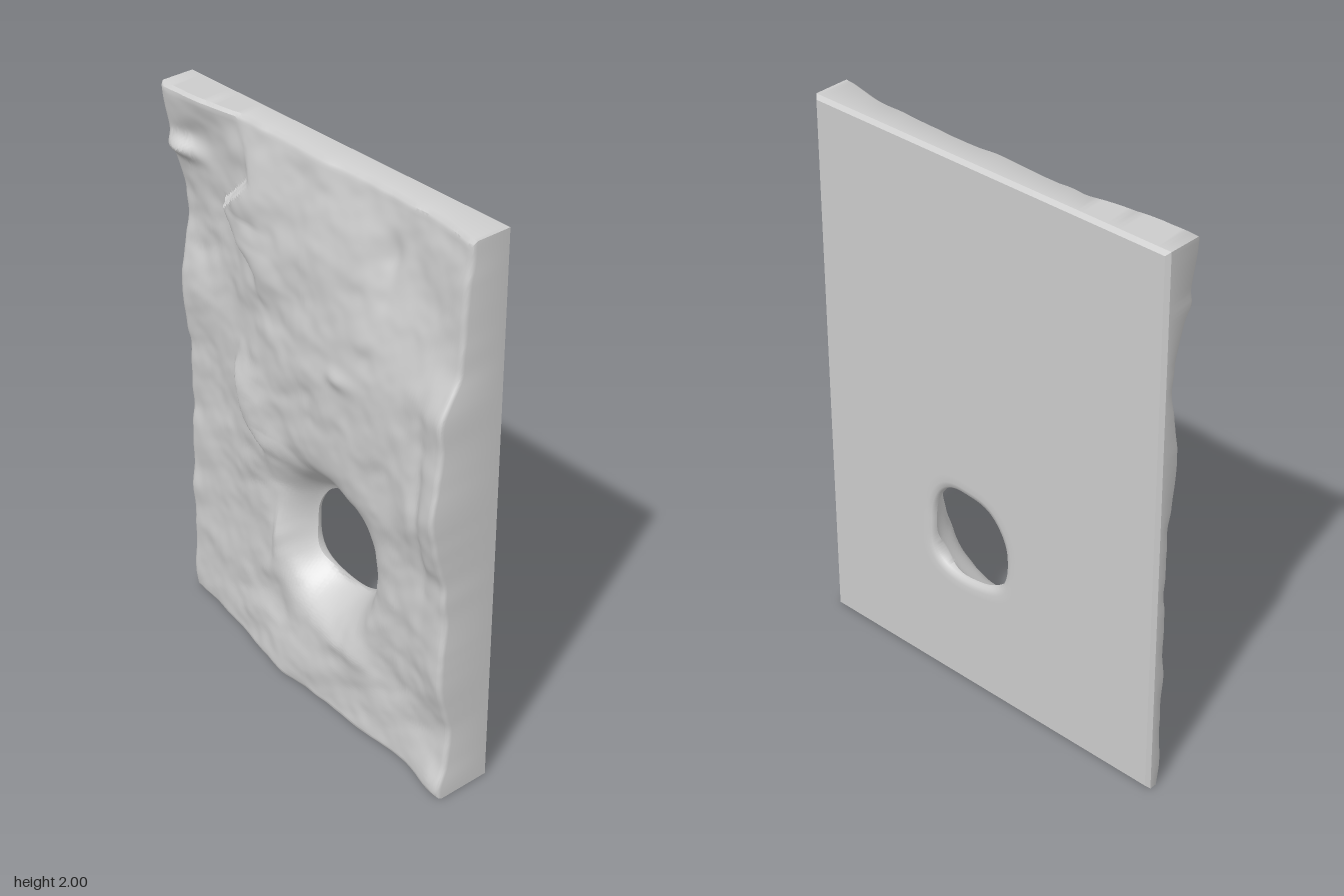
import * as THREE from 'three';
import { toCreasedNormals } from 'three/addons/utils/BufferGeometryUtils.js';

const W = 0.72, H = 2, BACK = -0.146, BEVEL = 0.013;
const HOLE = { x: 0.077, y: 0.6, rx: 0.164, ry: 0.17 };

// Broad relief: rows from bottom to top (0.25 apart), columns from -x to +x (0.24 apart)
const RELIEF = [
  [-0.09, -0.06, 0.00, 0.03, 0.03, 0.04, 0.07],
  [-0.09, -0.06, -0.02, 0.02, 0.03, 0.02, 0.045],
  [-0.09, -0.06, -0.02, 0.01, 0.03, 0.04, 0.08],
  [-0.085, -0.06, -0.01, 0.03, 0.04, 0.05, 0.07],
  [-0.08, -0.055, 0.00, 0.04, 0.06, 0.075, 0.13],
  [-0.05, -0.05, 0.00, 0.04, 0.055, 0.07, 0.125],
  [-0.09, -0.06, 0.00, 0.03, 0.045, 0.05, 0.075],
  [-0.05, -0.05, -0.01, 0.01, 0.02, 0.00, 0.035],
  [0.00, -0.01, -0.03, -0.03, -0.025, -0.02, 0.015],
];
// Ledge running down the face, as [y, x]
const LEDGE = [[0, -0.2], [0.45, -0.2], [0.65, -0.19], [0.86, -0.22], [0.93, -0.33], [1.03, -0.36], [1.1, -0.4],
  [1.18, -0.37], [1.4, -0.23], [1.5, -0.26], [1.59, -0.4], [1.66, -0.45], [1.73, -0.37], [1.8, -0.3], [1.9, -0.33], [2, -0.4]];

const { smoothstep, clamp, lerp } = THREE.MathUtils;

function cubic(list, u) {
  const i = Math.min(Math.floor(u), list.length - 2), t = u - i;
  const p = k => list[clamp(i + k, 0, list.length - 1)];
  const [a, b, c, d] = [p(-1), p(0), p(1), p(2)];
  return b + 0.5 * t * (c - a + t * (2 * a - 5 * b + 4 * c - d + t * (3 * (b - c) + d - a)));
}

function hash(i, j) {
  const s = Math.sin(i * 127.1 + j * 311.7) * 43758.5453;
  return (s - Math.floor(s)) * 2 - 1;
}
function noise(x, y) {
  const i = Math.floor(x), j = Math.floor(y);
  const u = smoothstep(x - i, 0, 1), v = smoothstep(y - j, 0, 1);
  return lerp(lerp(hash(i, j), hash(i + 1, j), u), lerp(hash(i, j + 1), hash(i + 1, j + 1), u), v);
}

function ledgeX(y) {
  const k = clamp(LEDGE.findIndex(p => p[0] >= y), 1, LEDGE.length - 1);
  const [a, b] = [LEDGE[k - 1], LEDGE[k]];
  return lerp(a[1], b[1], (y - a[0]) / (b[0] - a[0]));
}

const blob = (x, y, cx, cy, sx, sy) => Math.exp(-(((x - cx) / sx) ** 2) - ((y - cy) / sy) ** 2);

// Height of the rough front at a point
function frontZ(x, y) {
  const u = clamp((x + W) / 0.24, 0, 6), v = clamp(y / 0.25, 0, 8);
  let z = cubic(RELIEF.map(row => cubic(row, u)), v);
  // weathered lumps, slanting up towards +x
  const sx = 0.85 * x + 0.5 * y, sy = 0.85 * y - 0.5 * x;
  z += 0.009 * noise(sx * 5, sy * 7) + 0.006 * noise(sx * 10 + 7, sy * 14) + 0.002 * noise(sx * 22, sy * 26);
  // ledge: a step up that fades away towards +x
  const d = x - ledgeX(y);
  const step = 0.035 * blob(0, y, 0, 1.68, 1, 0.17) + 0.035 * blob(0, y, 0, 1, 1, 0.13) + 0.022 * blob(0, y, 0, 0.54, 1, 0.1);
  z += step * smoothstep(d, -0.018, 0.018) * (1 - smoothstep(d, 0.02, 0.25));
  // small crags, a low lip and swellings along the right border
  z += 0.045 * blob(x, y, -0.66, 1.78, 0.08, 0.035) + 0.018 * blob(x, y, 0.2, 0.29, 0.12, 0.04);
  z += 0.015 * blob(x, y, 0.2, 1.33, 0.06, 0.03) - 0.012 * blob(x, y, 0.37, 1.78, 0.03, 0.09);
  z += 0.02 * blob(x, y, 0.7, 1.43, 0.15, 0.07) - 0.015 * blob(x, y, 0.7, 1.57, 0.15, 0.06);
  z += 0.02 * blob(x, y, 0.7, 0.03, 0.12, 0.06) - 0.015 * blob(x, y, 0.6, 1.05, 0.03, 0.35);
  // funnel sinking to the hole, wider above it
  const dx = (x - HOLE.x) / HOLE.rx, dy = (y - HOLE.y) / HOLE.ry, r = Math.hypot(dx, dy);
  const reach = 0.42 + 0.2 * smoothstep(dy / r, -0.3, 0.9);
  z = lerp(z, BACK + 0.022, Math.exp(-((Math.max(r - 1, 0) / reach) ** 1.6)));
  // rounded outer edge
  const edge = clamp(Math.min(W - Math.abs(x), y, H - y) / 0.022, 0, 1);
  return Math.min(z, 0.145) - 0.016 * (1 - Math.sqrt(edge * (2 - edge)));
}

// Point on the rounded-square hole outline in the direction of a border point
function holePoint(p) {
  const a = Math.atan2(p.y - HOLE.y, p.x - HOLE.x), c = Math.cos(a), s = Math.sin(a);
  const r = (Math.abs(c / HOLE.rx) ** 2.6 + Math.abs(s / HOLE.ry) ** 2.6) ** (-1 / 2.6);
  const wobble = 1 + 0.035 * Math.sin(3 * a - 2.36) + 0.008 * Math.sin(7 * a);
  return new THREE.Vector2(HOLE.x + c * r * wobble, HOLE.y + s * r * wobble);
}

// Border of the slab, counter-clockwise from the front
function border() {
  const corners = [[W, 0], [W, H], [-W, H], [-W, 0]].map(c => new THREE.Vector2(...c));
  return corners.flatMap((c, k) => {
    const n = k % 2 ? 90 : 120;
    return Array.from({ length: n }, (_, i) => c.clone().lerp(corners[(k + 1) % 4], i / n));
  });
}

// One closed section per border point: front, edge, back and hole lip
function section(outer) {
  const RINGS = 120, pts = [];
  const inner = holePoint(outer), centre = new THREE.Vector2(HOLE.x, HOLE.y);
  const add = (p, z) => pts.push([p.x, p.y, z]);
  for (let k = 0; k <= RINGS; k++) {
    const p = inner.clone().lerp(outer, k / RINGS);
    add(p, frontZ(p.x, p.y));
  }
  const inset = new THREE.Vector2(clamp(outer.x, BEVEL - W, W - BEVEL), clamp(outer.y, BEVEL, H - BEVEL));
  add(outer, BACK + BEVEL);
  add(inset, BACK);
  for (const [s, z] of [[1.3, BACK], [1.15, BACK], [1.05, BACK + 0.004], [1.01, BACK + 0.012]])
    add(centre.clone().lerp(inner, s), z);
  return pts;
}

function slabGeometry() {
  const sections = border().map(section);
  const n = sections.length, m = sections[0].length, index = [];
  for (let i = 0; i < n; i++) {
    for (let j = 0; j < m; j++) {
      const i2 = (i + 1) % n, j2 = (j + 1) % m;
      const a = i * m + j, b = i * m + j2, c = i2 * m + j2, d = i2 * m + j;
      index.push(a, b, c, a, c, d);
    }
  }
  const geometry = new THREE.BufferGeometry();
  geometry.setAttribute('position', new THREE.Float32BufferAttribute(sections.flat(2), 3));
  geometry.setIndex(index);
  return toCreasedNormals(geometry, 0.7);
}

export function createModel() {
  const group = new THREE.Group();
  group.name = 'rockWallPanel';
  const slab = new THREE.Mesh(slabGeometry(), new THREE.MeshStandardMaterial({ color: 0xcccccc }));
  slab.name = 'rockSlabWithHole';
  group.add(slab);
  return group;
}
